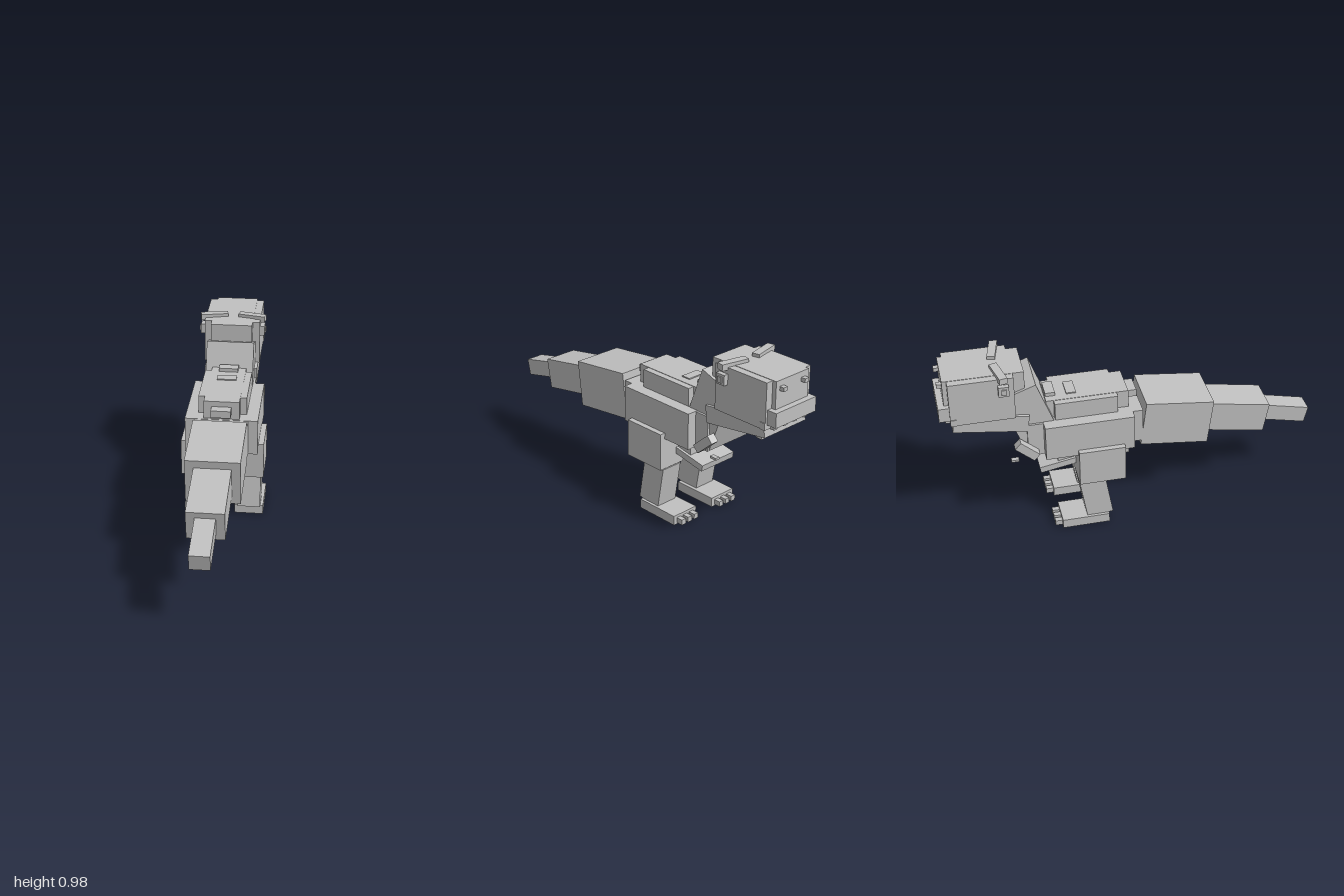
import * as THREE from 'three';

export function createModel() {
  const model = new THREE.Group();
  model.name = 'blockDinosaur';
  const grey = new THREE.MeshStandardMaterial({ color: 0xc0c0c0 });
  grey.name = 'grey';

  // Box given by size and centre, pitched about x and turned about y
  function block(name, size, centre, pitch = 0, yaw = 0) {
    const mesh = new THREE.Mesh(new THREE.BoxGeometry(...size), grey);
    mesh.name = name;
    mesh.position.set(...centre);
    mesh.rotation.set(pitch, yaw, 0);
    model.add(mesh);
  }
  // Upright box given by its ranges
  function span(name, [x0, x1], [y0, y1], [z0, z1]) {
    block(name, [x1 - x0, y1 - y0, z1 - z0], [(x0 + x1) / 2, (y0 + y1) / 2, (z0 + z1) / 2]);
  }
  const mid = (w) => [-w, w];

  // Body: wide block with a narrower one running through it
  span('body', mid(0.195), [0.457, 0.655], [-0.475, -0.005]);
  span('bodyCore', mid(0.143), [0.46, 0.653], [-0.56, 0.05]);
  span('pelvis', mid(0.1), [0.358, 0.46], [-0.4, -0.015]);
  block('bellyPlate', [0.23, 0.035, 0.2], [0, 0.348, -0.4], -0.18);

  // Raised back with small ridge plates
  span('back', mid(0.13), [0.65, 0.753], [-0.41, -0.08]);
  span('backCore', mid(0.095), [0.65, 0.755], [-0.45, -0.018]);
  span('backKnob', mid(0.053), [0.685, 0.725], [-0.02, 0.035]);
  span('ridgePlate', mid(0.053), [0.75, 0.761], [-0.337, -0.285]);
  span('ridgePlate', mid(0.053), [0.75, 0.775], [-0.447, -0.395]);

  // Tail
  block('tailBase', [0.285, 0.255, 0.368], [0, 0.537, 0.237], 0.117);
  block('tailMiddle', [0.194, 0.168, 0.345], [0, 0.488, 0.578], 0.176);
  block('tailTip', [0.104, 0.092, 0.265], [0, 0.436, 0.866], 0.222);

  // Neck
  block('neck', [0.262, 0.38, 0.2], [0, 0.676, -0.532], -0.35);

  // Head and jaw
  span('head', mid(0.155), [0.72, 0.965], [-0.945, -0.615]);
  span('headCore', mid(0.115), [0.722, 0.967], [-0.968, -0.557]);
  span('upperLip', mid(0.143), [0.745, 0.823], [-1, -0.92]);
  block('jaw', [0.295, 0.093, 0.385], [0, 0.694, -0.741], 0.14);
  for (const x of [-0.105, -0.035, 0.035, 0.105]) {
    span('tooth', [x - 0.013, x + 0.013], [0.716, 0.75], [-0.968, -0.942]);
  }

  // Mirrored parts
  for (const s of [-1, 1]) {
    const side = (a, b) => (s > 0 ? [a, b] : [-b, -a]);
    span('cheekTooth', side(0.14, 0.159), [0.72, 0.757], [-0.945, -0.915]);
    span('nostril', side(0.062, 0.09), [0.915, 0.936], [-0.993, -0.96]);
    span('eye', side(0.15, 0.18), [0.875, 0.931], [-0.697, -0.643]);
    span('pupil', side(0.17, 0.187), [0.887, 0.918], [-0.682, -0.657]);
    block('brow', [0.153, 0.033, 0.042], [s * 0.107, 0.968, -0.685], 0, -s * 0.22);

    // Arm and claw
    block('arm', [0.046, 0.047, 0.13], [s * 0.167, 0.52, -0.57], 0.73);
    span('claw', side(0.155, 0.18), [0.459, 0.471], [-0.655, -0.615]);

    // Leg
    span('thigh', side(0.06, 0.225), [0.285, 0.49], [-0.307, -0.06]);
    block('shin', [0.125, 0.25, 0.14], [s * 0.142, 0.168, -0.217], -0.165);
    span('foot', side(0.06, 0.22), [0, 0.052], [-0.405, -0.15]);
    for (const x of [0.095, 0.14, 0.185]) {
      span('toe', side(x - 0.014, x + 0.014), [0.008, 0.037], [-0.443, -0.4]);
    }
  }
  return model;
}
